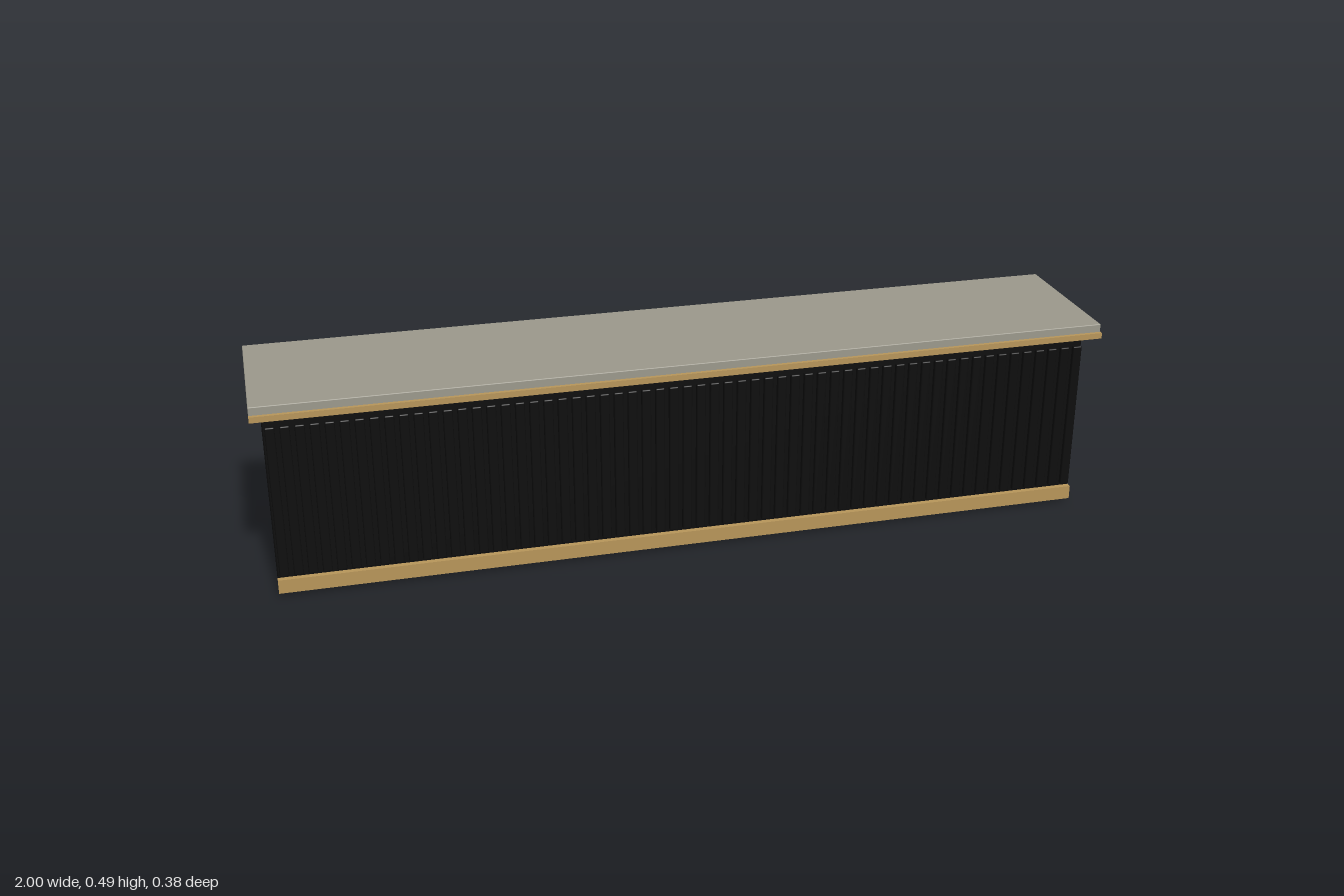
import * as THREE from 'three';
import { RoundedBoxGeometry } from 'three/addons/geometries/RoundedBoxGeometry.js';

export function createModel() {
  const group = new THREE.Group();
  const material = (name, color) => {
    const m = new THREE.MeshStandardMaterial({ color });
    m.name = name;
    return m;
  };
  const black = material('matte black', 0x0d0d0d);
  const stone = material('grey stone', 0x9c998c);
  const brass = material('brass', 0xb8965a);

  // Box given by its limits; a radius softens its edges
  const addBox = (name, mat, [x0, x1], [y0, y1], [z0, z1], radius = 0) => {
    const size = [x1 - x0, y1 - y0, z1 - z0];
    const geometry = radius
      ? new RoundedBoxGeometry(...size, 2, radius)
      : new THREE.BoxGeometry(...size);
    const mesh = new THREE.Mesh(geometry, mat);
    mesh.name = name;
    mesh.position.set((x0 + x1) / 2, (y0 + y1) / 2, (z0 + z1) / 2);
    group.add(mesh);
  };

  // Counter body and the floating worktop
  addBox('counterBody', black, [-0.975, 0.975], [0, 0.451], [-0.169, 0.14], 0.004);
  addBox('countertop', stone, [-1, 1], [0.463, 0.485], [-0.189, 0.18], 0.002);

  // Brass strips along the front
  addBox('topTrim', brass, [-1, 1], [0.452, 0.466], [0.181, 0.19]);
  addBox('kickRail', brass, [-0.975, 0.975], [0.009, 0.043], [0.142, 0.155]);

  // Vertical slats across the front
  const count = 60, pitch = 1.95 / count, width = 0.022;
  for (let i = 0; i < count; i++) {
    const x = (i - (count - 1) / 2) * pitch;
    addBox('frontSlat', black, [x - width / 2, x + width / 2], [0.051, 0.421], [0.143, 0.155], 0.003);
  }

  return group;
}
